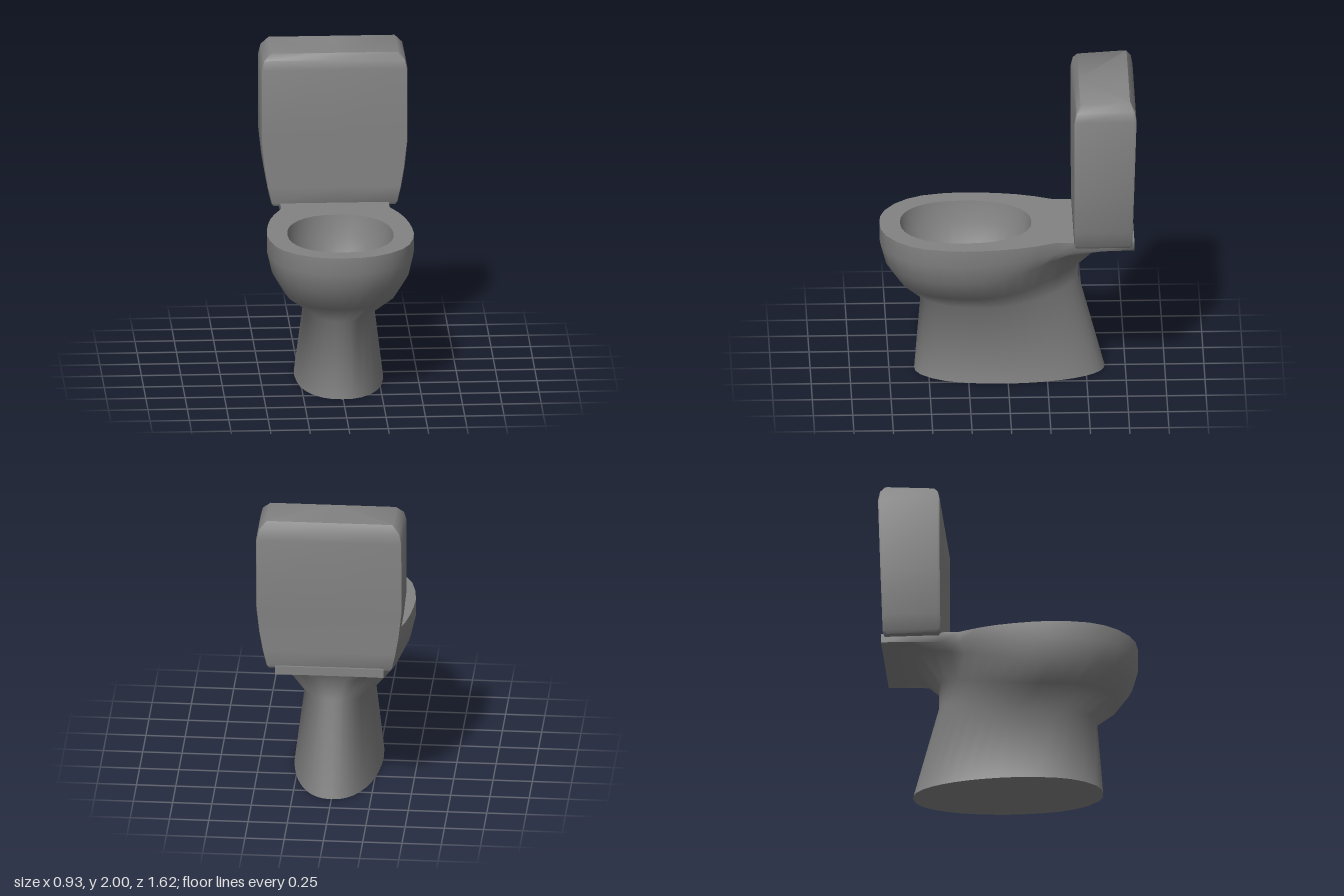
import * as THREE from 'three';
import { toCreasedNormals } from 'three/addons/utils/BufferGeometryUtils.js';

const material = new THREE.MeshStandardMaterial({ color: 0x838383 });

// Right half of the rim outline [x, z], front centre to back centre
const RIM = [
  [0, 0.81], [0.1, 0.804], [0.2, 0.773], [0.3, 0.708], [0.375, 0.625], [0.425, 0.53],
  [0.455, 0.4], [0.467, 0.28], [0.462, 0.16], [0.448, 0.04], [0.428, -0.07], [0.395, -0.18],
  [0.345, -0.3], [0.345, -0.42], [0.345, -0.6], [0.345, -0.8], [0.2, -0.8], [0, -0.8],
];
const WIDEST = 7; // index of the widest rim point

// Completes a half ring by mirroring it in x
function mirrorRing(half) {
  const other = half.slice(1, -1).reverse().map(([x, y, z]) => [-x, y, z]);
  return [...half, ...other];
}

// Skins a stack of closed rings, with optional flat ends
function loft(rings, capStart, capEnd, crease) {
  const n = rings[0].length;
  const index = [];
  for (let r = 0; r < rings.length - 1; r++) {
    for (let i = 0; i < n; i++) {
      const j = (i + 1) % n;
      const a = r * n + i, b = r * n + j, c = b + n, d = a + n;
      index.push(a, b, c, a, c, d);
    }
  }
  const last = (rings.length - 1) * n;
  for (let i = 1; i < n - 1; i++) {
    if (capStart) index.push(0, i + 1, i);
    if (capEnd) index.push(last, last + i, last + i + 1);
  }
  const geometry = new THREE.BufferGeometry();
  geometry.setAttribute('position', new THREE.Float32BufferAttribute(rings.flat(2), 3));
  geometry.setIndex(index);
  return toCreasedNormals(geometry, crease);
}

// Body ring: the rim outline rescaled, its rear blended towards an oval
function bodyRing({ y, yBack, front, back, width, mid, round }) {
  const steps = RIM.length - 1 - WIDEST;
  return mirrorRing(RIM.map(([rx, rz], i) => {
    const x = (rx / 0.467) * width;
    if (i <= WIDEST) return [x, y, mid + ((rz - 0.28) / 0.53) * (front - mid)];
    const t = (i - WIDEST) / steps;
    const a = (t * Math.PI) / 2;
    const zRim = mid - ((0.28 - rz) / 1.08) * (mid - back);
    const zOval = mid - Math.sin(a) * (mid - back);
    const xOval = t === 1 ? 0 : Math.pow(Math.cos(a), 0.9) * width;
    return [
      THREE.MathUtils.lerp(x, xOval, round),
      THREE.MathUtils.lerp(y, yBack, THREE.MathUtils.smoothstep(t, 0, 0.9)),
      THREE.MathUtils.lerp(zRim, zOval, round),
    ];
  }));
}

// Slightly squared oval ring for the bowl
function ovalRing(y, width, front, back, mid) {
  const half = [];
  for (let i = 0; i <= 16; i++) {
    const a = (i / 16) * Math.PI;
    const c = Math.cos(a), s = i % 16 === 0 ? 0 : Math.sin(a);
    const x = width * Math.pow(s, 0.88);
    const z = mid + Math.sign(c) * Math.pow(Math.abs(c), 0.9) * (c > 0 ? front - mid : mid - back);
    half.push([x, y, z]);
  }
  return mirrorRing(half);
}

// Cistern ring: rectangle with narrow bevelled corners
function tankRing([yFront, yBack, w, front, back]) {
  const bx = 0.005, bz = 0.013;
  return mirrorRing([
    [0, yFront, front], [w - bx, yFront, front], [w, yFront, front - bz],
    [w, yBack, back + bz], [w - bx, yBack, back], [0, yBack, back],
  ]);
}

export function createModel() {
  const group = new THREE.Group();
  const add = (name, geometry) => {
    const mesh = new THREE.Mesh(geometry, material);
    mesh.name = name;
    group.add(mesh);
  };

  // Pedestal flaring into the bowl exterior and rear shelf
  const body = [
    { y: 0, yBack: 0, front: 0.59, back: -0.62, width: 0.282, mid: 0.05, round: 1 },
    { y: 0.5, yBack: 0.62, front: 0.55, back: -0.455, width: 0.22, mid: 0.1, round: 1 },
    { y: 0.62, yBack: 0.75, front: 0.68, back: -0.455, width: 0.36, mid: 0.22, round: 0.9 },
    { y: 0.76, yBack: 0.93, front: 0.775, back: -0.6, width: 0.437, mid: 0.28, round: 0.5 },
    { y: 0.89, yBack: 0.945, front: 0.81, back: -0.8, width: 0.467, mid: 0.28, round: 0 },
    { y: 1, yBack: 1, front: 0.81, back: -0.8, width: 0.467, mid: 0.28, round: 0 },
  ].map(bodyRing);
  add('pedestalAndBowlExterior', loft(body, true, false, 1.35));

  // Bowl interior, from the opening down to the drain
  const bowl = [
    ovalRing(1, 0.337, 0.68, -0.155, 0.28),
    ovalRing(0.86, 0.317, 0.65, -0.135, 0.27),
    ovalRing(0.72, 0.26, 0.565, -0.085, 0.24),
    ovalRing(0.59, 0.17, 0.41, -0.015, 0.18),
    ovalRing(0.46, 0.065, 0.22, 0.045, 0.13),
  ];
  add('bowlInterior', loft(bowl, false, true, 0.5));

  // Flat rim and shelf around the opening
  const outline = (ring) => ring.map(([x, , z]) => new THREE.Vector2(x, -z));
  const rim = new THREE.Shape(outline(body[body.length - 1]));
  rim.holes.push(new THREE.Path(outline(bowl[0])));
  add('rimTop', new THREE.ShapeGeometry(rim).rotateX(-Math.PI / 2).translate(0, 1, 0));

  // Cistern: [front y, back y, half width, front z, back z]
  const tank = [
    [0.98, 0.98, 0.39, -0.43, -0.775],
    [1.0, 1.0, 0.402, -0.417, -0.785],
    [1.1, 1.1, 0.425, -0.417, -0.787],
    [1.23, 1.23, 0.447, -0.417, -0.79],
    [1.4, 1.4, 0.465, -0.417, -0.795],
    [1.88, 1.88, 0.465, -0.417, -0.81],
    [1.94, 1.95, 0.45, -0.43, -0.798],
    [1.982, 2.0, 0.405, -0.455, -0.77],
  ].map(tankRing);
  add('cistern', loft(tank, true, true, 0.95));

  return group;
}
